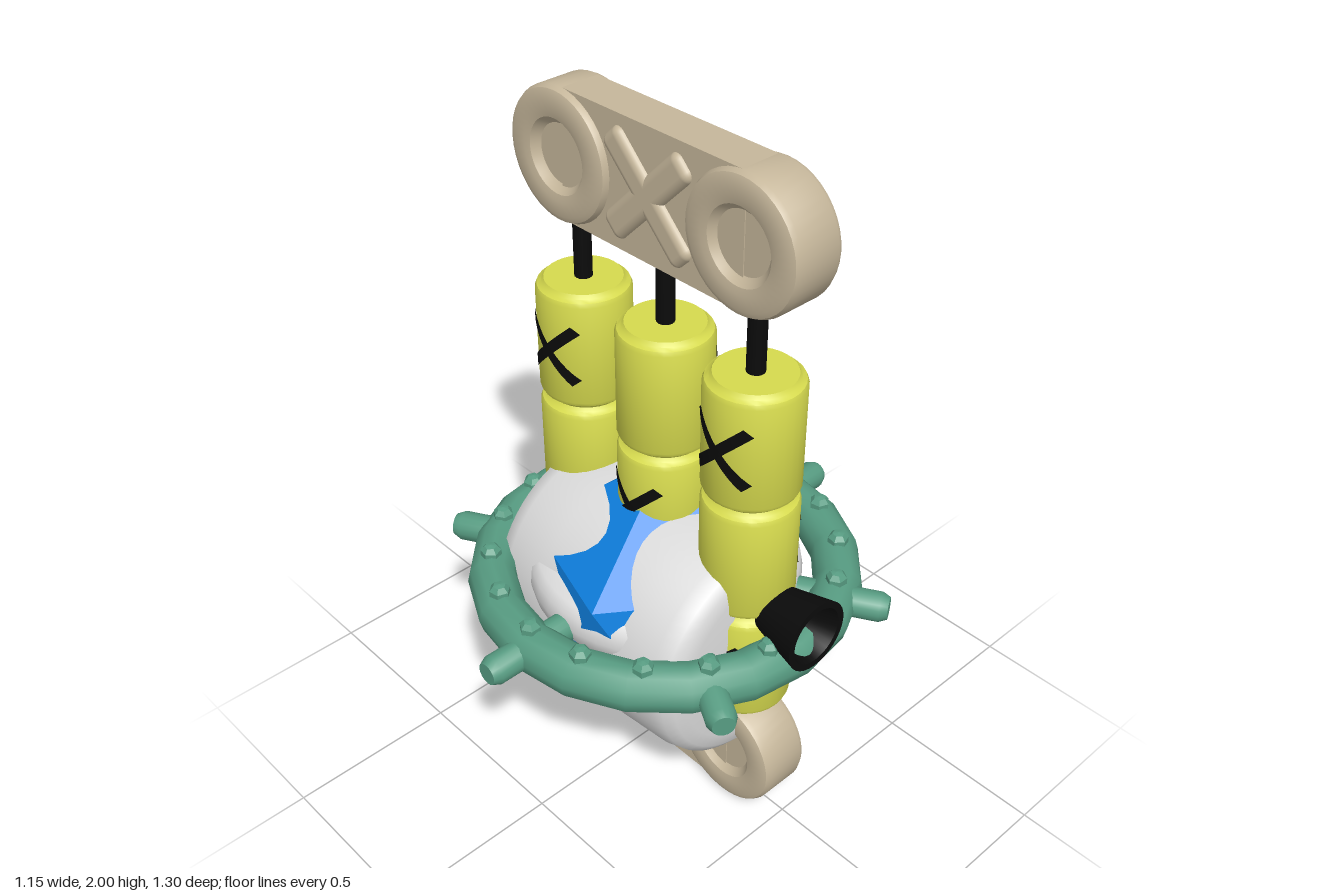
import * as THREE from 'three';
import { toCreasedNormals } from 'three/addons/utils/BufferGeometryUtils.js';
import { RoundedBoxGeometry } from 'three/addons/geometries/RoundedBoxGeometry.js';

const V = (pts) => pts.map(([x, y]) => new THREE.Vector2(x, y));
const crease = (g, a = 0.6) => toCreasedNormals(g, a);

function material(name, color, extra = {}) {
  const m = new THREE.MeshStandardMaterial({ color, ...extra });
  m.name = name;
  return m;
}

function add(parent, name, geo, mat, x = 0, y = 0, z = 0) {
  const m = new THREE.Mesh(geo, mat);
  m.name = name;
  m.position.set(x, y, z);
  parent.add(m);
  return m;
}

// Cross whose two strips hug the front of a tube
function crossArm(angle, radius) {
  const g = new THREE.PlaneGeometry(0.235, 0.03, 16, 1);
  g.rotateZ(angle);
  const p = g.attributes.position;
  for (let i = 0; i < p.count; i++) {
    p.setZ(i, Math.sqrt(radius * radius - p.getX(i) ** 2));
  }
  g.computeVertexNormals();
  return g;
}

export function createModel() {
  const root = new THREE.Group();
  root.name = 'model';
  const beige = material('beige', 0xc6b79b);
  const yellow = material('yellow', 0xd6da4e);
  const black = material('black', 0x0b0b0b, { side: THREE.DoubleSide });
  const green = material('green', 0x579c82);
  const blue = material('blue', 0x0f80e0);
  const white = material('white', 0xdcdcdc, { side: THREE.DoubleSide });

  // End links: two dished discs, a thin web and a raised cross
  const half = [[0, 0.055], [0.082, 0.055], [0.09, 0.062], [0.102, 0.076], [0.12, 0.08], [0.16, 0.08], [0.175, 0.074], [0.182, 0.06]];
  const discProfile = [...half.map(([r, h]) => [r, -h]), ...half.slice().reverse()];
  const disc = crease(new THREE.LatheGeometry(V(discProfile), 40).rotateX(Math.PI / 2));
  const arm = new RoundedBoxGeometry(0.37, 0.085, 0.15, 3, 0.025);
  for (const [name, y] of [['upperLink', 1.818], ['lowerLink', 0.182]]) {
    const link = new THREE.Group();
    link.name = name;
    link.position.y = y;
    root.add(link);
    add(link, 'web', new THREE.BoxGeometry(0.64, 0.362, 0.116), beige);
    for (const s of [-1, 1]) {
      add(link, 'linkDisc', disc, beige, s * 0.32);
      add(link, 'crossArm', arm, beige).rotation.z = s * Math.PI / 4;
    }
  }

  // Three tubes, each a stack of three rounded segments on a rod
  const segment = crease(new THREE.LatheGeometry(V([
    [0, -0.179], [0.108, -0.179], [0.115, -0.168], [0.127, -0.162], [0.132, -0.15],
    [0.132, 0.15], [0.127, 0.162], [0.115, 0.168], [0.108, 0.179], [0, 0.179],
  ]), 32), 0.7);
  const arms = [crossArm(Math.PI / 4, 0.135), crossArm(-Math.PI / 4, 0.135)];
  [-0.32, 0, 0.32].forEach((x, col) => {
    const tube = new THREE.Group();
    tube.name = 'tube';
    tube.position.x = x;
    root.add(tube);
    add(tube, 'rod', new THREE.CylinderGeometry(0.025, 0.025, 0.3, 16), black, 0, 1.55);
    [1.273, 0.915, 0.557].forEach((y, row) => {
      add(tube, 'segment', segment, yellow, 0, y);
      // Crosses alternate between the front and the back
      for (const g of arms) {
        add(tube, 'crossMark', g, black, 0, y).rotation.y = (row + col) % 2 ? Math.PI : 0;
      }
    });
  });

  // Faceted core
  const core = add(root, 'core', new THREE.IcosahedronGeometry(0.447, 0), blue, 0, 0.555);
  core.geometry.computeVertexNormals();
  core.rotation.z = -0.535;

  // Front shell: half of a rounded drum lying along x
  const shellProfile = V([
    [0, -0.372], [0.27, -0.372], [0.31, -0.365], [0.337, -0.345], [0.35, -0.3], [0.36, -0.15],
    [0.365, 0], [0.36, 0.15], [0.35, 0.3], [0.337, 0.345], [0.31, 0.365], [0.27, 0.372], [0, 0.372],
  ]);
  const shell = new THREE.LatheGeometry(shellProfile, 32, -Math.PI / 2, Math.PI);
  shell.rotateZ(Math.PI / 2);
  add(root, 'frontShell', crease(shell, 0.7), white, 0, 0.548);
  const outline = [...shellProfile, ...shellProfile.slice().reverse().map((p) => new THREE.Vector2(-p.x, p.y))];
  const back = new THREE.ShapeGeometry(new THREE.Shape(outline)).rotateZ(Math.PI / 2).rotateY(Math.PI);
  add(root, 'shellBack', back, white, 0, 0.548);

  // Flat rounded saucer inside the wheel
  add(root, 'saucer', crease(new THREE.LatheGeometry(V([
    [0, -0.075], [0.33, -0.075], [0.365, -0.065], [0.385, -0.04], [0.392, 0],
    [0.385, 0.04], [0.365, 0.065], [0.33, 0.075], [0, 0.075],
  ]), 40), 0.7), white, 0, 0.65);

  // Wheel with six handles and eighteen studs
  const wheel = new THREE.Group();
  wheel.name = 'wheel';
  wheel.position.y = 0.632;
  root.add(wheel);
  add(wheel, 'rim', new THREE.TorusGeometry(0.495, 0.07, 12, 20).rotateX(Math.PI / 2), green);
  const handle = crease(new THREE.LatheGeometry(V([
    [0, 0.38], [0.043, 0.38], [0.043, 0.625], [0.032, 0.648], [0, 0.648],
  ]), 16).rotateX(Math.PI / 2));
  for (let i = 0; i < 6; i++) {
    add(wheel, 'handle', handle, green).rotation.y = i * Math.PI / 3;
  }
  const stud = crease(new THREE.LatheGeometry(V([
    [0.03, -0.02], [0.03, 0.012], [0.018, 0.026], [0, 0.03],
  ]), 6), 0.3);
  for (let i = 0; i < 18; i++) {
    const a = i * Math.PI / 9;
    add(wheel, 'stud', stud, green, 0.495 * Math.sin(a), 0.068, 0.495 * Math.cos(a)).rotation.y = a;
  }

  // Open horn on the left tube
  const horn = new THREE.LatheGeometry(V([
    [0.062, -0.01], [0.07, -0.01], [0.105, 0.145], [0.085, 0.145], [0.062, 0.06], [0.062, -0.01],
  ]), 32).rotateZ(-Math.PI / 2);
  add(root, 'horn', crease(horn), black, 0.43, 0.745);

  return root;
}
